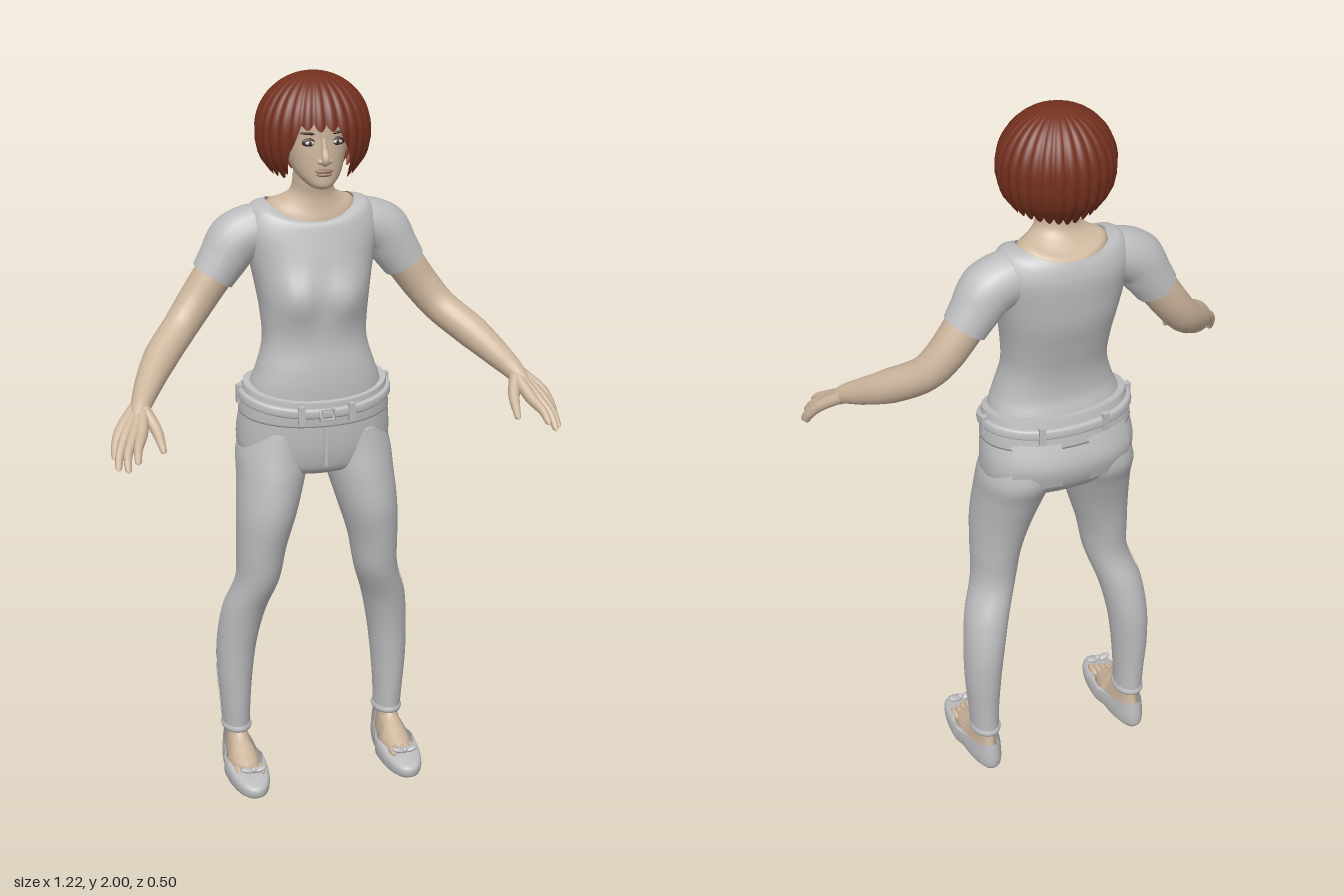
import * as THREE from 'three';

const mat = (name, color) => new THREE.MeshStandardMaterial({ name, color });

// Smooth interpolation through rows of numbers
function sample(rows, t) {
  const i = Math.min(Math.floor(t), rows.length - 2), f = t - i;
  const at = (k) => rows[Math.max(0, Math.min(rows.length - 1, k))];
  return rows[i].map((_, c) => {
    const [a, b, d, e] = [at(i - 1)[c], at(i)[c], at(i + 1)[c], at(i + 2)[c]];
    return b + 0.5 * f * (d - a + f * (2 * a - 5 * b + 4 * d - e + f * (3 * (b - d) + e - a)));
  });
}

// Skin over rising oval sections [y, centreX, halfWidth, zFront, zBack, sideLift, frontTilt]
function loft(sections, { a0 = 0, a1 = Math.PI * 2, p = 1, grow = 0, sub = 5, seg = 40, deform, caps = true } = {}) {
  const rows = sections.map((s) => [...s, 0, 0].slice(0, 7));
  const full = a1 - a0 > 6.28, cols = full ? seg : seg + 1, n = (rows.length - 1) * sub;
  const pos = [], idx = [], pw = (v) => Math.sign(v) * Math.abs(v) ** p;
  for (let i = 0; i <= n; i++) {
    const [y, cx, rx, zf, zb, lift, tilt] = sample(rows, i / sub);
    for (let j = 0; j < cols; j++) {
      const a = a0 + (a1 - a0) * j / seg, c = Math.cos(a), s = Math.sin(a);
      const v = new THREE.Vector3(cx + (rx + grow) * pw(c), y + lift * c * c + tilt * s,
        (zf + zb) / 2 + ((zf - zb) / 2 + grow) * pw(s));
      if (deform) deform(v);
      pos.push(v.x, v.y, v.z);
    }
  }
  for (let i = 0; i < n; i++) for (let j = 0; j < seg; j++) {
    const a = i * cols + j, b = i * cols + (j + 1) % cols;
    idx.push(a, a + cols, b, b, a + cols, b + cols);
  }
  if (full && caps) for (const r of [0, n]) {
    const [y, cx, , zf, zb, lift] = sample(rows, r / sub), m = pos.length / 3;
    pos.push(cx, y + lift / 2, (zf + zb) / 2);
    for (let j = 0; j < seg; j++) {
      const a = r * cols + j, b = r * cols + (j + 1) % cols;
      r ? idx.push(a, m, b) : idx.push(a, b, m);
    }
  }
  const g = new THREE.BufferGeometry();
  g.setAttribute('position', new THREE.Float32BufferAttribute(pos, 3));
  g.setIndex(idx);
  g.computeVertexNormals();
  return g;
}

// Tube through [x, y, z, radius] points
function limb(pts, n = 24, seg = 16) {
  const curve = new THREE.CatmullRomCurve3(pts.map((q) => new THREE.Vector3(q[0], q[1], q[2])));
  const g = new THREE.TubeGeometry(curve, n, 1, seg), P = g.attributes.position, v = new THREE.Vector3();
  for (let i = 0; i <= n; i++) {
    const c = curve.getPointAt(i / n), t = curve.getUtoTmapping(i / n) * (pts.length - 1);
    const k = Math.min(Math.floor(t), pts.length - 2), r = THREE.MathUtils.lerp(pts[k][3], pts[k + 1][3], t - k);
    for (let j = 0; j <= seg; j++) {
      const m = i * (seg + 1) + j;
      v.fromBufferAttribute(P, m).sub(c).multiplyScalar(r).add(c);
      P.setXYZ(m, v.x, v.y, v.z);
    }
  }
  return g;
}

const blob = (x, y, z, sx, sy, sz) => new THREE.SphereGeometry(1, 20, 14).scale(sx, sy, sz).translate(x, y, z);
const box = (x, y, z, w, h, d, ry = 0) => new THREE.BoxGeometry(w, h, d).rotateY(ry).translate(x, y, z);

function mirrored(geo) {
  const g = geo.clone().scale(-1, 1, 1), I = g.index;
  for (let i = 0; i < I.count; i += 3) {
    const a = I.getX(i);
    I.setX(i, I.getX(i + 1));
    I.setX(i + 1, a);
  }
  return g;
}

// Bob haircut: ridged dome whose lower edge rises over the face
function hairGeometry() {
  const cols = 168, rowsN = 22, pos = [], idx = [];
  const profile = [[1.70, 0.55], [1.74, 0.74], [1.78, 0.93], [1.83, 1], [1.88, 0.98]];
  const radius = (y) => {
    if (y > 1.85) return Math.sqrt(Math.max(0, 1 - ((y - 1.85) / 0.15) ** 2));
    const k = profile.findIndex((q) => q[0] >= y), [b, c] = [profile[Math.max(k - 1, 0)], profile[Math.max(k, 1)]];
    return THREE.MathUtils.lerp(b[1], c[1], (y - b[0]) / (c[0] - b[0]));
  };
  for (let i = 0; i <= rowsN; i++) for (let j = 0; j < cols; j++) {
    const a = j / cols * Math.PI * 2, ridge = Math.abs(Math.sin(a * 14));
    const off = Math.abs(Math.atan2(Math.cos(a) + 0.12, Math.sin(a)));
    const open = 1 - THREE.MathUtils.smoothstep(off, 0.25, 0.85);
    const low = 1.715 + 0.018 * (1 - ridge) + 0.02 * Math.max(0, Math.abs(Math.cos(a))) + 0.15 * open;
    const y = low + (2 - low) * Math.sin(i / rowsN * Math.PI / 2);
    const r = radius(y) * (0.95 + 0.05 * ridge);
    pos.push(0.155 * r * Math.cos(a), y, -0.105 + 0.144 * r * Math.sin(a));
    if (i < rowsN) {
      const m = i * cols + j, q = i * cols + (j + 1) % cols;
      idx.push(m, m + cols, q, q, m + cols, q + cols);
    }
  }
  const g = new THREE.BufferGeometry();
  g.setAttribute('position', new THREE.Float32BufferAttribute(pos, 3));
  g.setIndex(idx);
  g.computeVertexNormals();
  return g;
}

export function createModel() {
  const model = new THREE.Group();
  const skin = mat('skin', 0xccb59c), cloth = mat('greyCloth', 0xbdbdbf), hair = mat('redHair', 0x74301e);
  const dark = mat('darkMakeup', 0x3a2a24), white = mat('eyeWhite', 0xd8d4cc), lips = mat('lips', 0x9c7a6c);
  cloth.side = hair.side = THREE.DoubleSide;
  const add = (name, geo, m) => {
    const mesh = new THREE.Mesh(geo, m);
    mesh.name = name;
    model.add(mesh);
  };
  const pair = (name, geo, m) => { add(name + 'Left', geo, m); add(name + 'Right', mirrored(geo), m); };

  // Shirt with bust and shoulder blades
  add('shirt', loft([
    [1.10, 0, 0.19, 0.022, -0.215], [1.16, 0, 0.18, 0.022, -0.205], [1.21, 0, 0.162, 0.018, -0.19],
    [1.28, 0, 0.143, 0.008, -0.193], [1.36, 0, 0.146, 0.006, -0.213], [1.44, 0, 0.158, 0.002, -0.235],
    [1.51, 0, 0.172, -0.008, -0.243], [1.57, 0, 0.185, -0.024, -0.246, 0.02],
    [1.605, 0, 0.16, -0.036, -0.24, 0.04], [1.62, 0, 0.12, -0.05, -0.23, 0.035, -0.01],
  ], { p: 0.86, caps: false, deform: (v) => {
    if (v.z > -0.08) v.z += 0.028 * Math.exp(-(((Math.abs(v.x) - 0.07) / 0.06) ** 2) - ((v.y - 1.41) / 0.065) ** 2);
  } }), cloth);
  pair('sleeve', limb([[0.09, 1.575, -0.142, 0.055], [0.15, 1.575, -0.142, 0.072], [0.205, 1.55, -0.142, 0.075],
    [0.24, 1.5, -0.142, 0.066], [0.268, 1.457, -0.142, 0.06]]), cloth);

  // Waistband, belt, loops and buckle
  const band = [[1.07, 0, 0.209, 0.03, -0.235, 0.01, -0.01], [1.11, 0, 0.205, 0.032, -0.228, 0.012, -0.014],
    [1.15, 0, 0.197, 0.03, -0.216, 0.015, -0.018]];
  add('waistband', loft(band, { p: 0.9 }), cloth);
  add('belt', loft([[1.10, 0, 0.207, 0.034, -0.232, 0.018, -0.014], [1.105, 0, 0.213, 0.04, -0.237, 0.018, -0.014],
    [1.123, 0, 0.211, 0.04, -0.235, 0.018, -0.014], [1.128, 0, 0.204, 0.033, -0.227, 0.018, -0.014]], { p: 0.9 }), cloth);
  add('buckle', new THREE.TorusGeometry(0.02, 0.004, 8, 4).rotateZ(Math.PI / 4).scale(1.3, 1, 1).translate(0, 1.1, 0.043), cloth);
  for (const [x, y, z, r] of [[0.07, 1.1, 0.035, 0.12], [0.207, 1.13, -0.11, Math.PI / 2], [0.09, 1.13, -0.225, -0.2]])
    pair('beltLoop', box(x, y, z, 0.018, 0.05, 0.016, r), cloth);

  // Hips and legs of the trousers
  const hips = [[0.905, 0, 0.08, -0.03, -0.15], [0.925, 0, 0.17, 0.005, -0.2], [0.97, 0, 0.208, 0.02, -0.237],
    [1.03, 0, 0.213, 0.026, -0.249], [1.10, 0, 0.204, 0.026, -0.225]];
  add('hips', loft(hips, { p: 0.9 }), cloth);
  const leg = [[0.12, 0.225, 0.038, -0.072, -0.178], [0.2, 0.227, 0.042, -0.066, -0.18], [0.3, 0.227, 0.05, -0.06, -0.185],
    [0.4, 0.22, 0.056, -0.05, -0.186], [0.5, 0.203, 0.061, -0.03, -0.17], [0.6, 0.171, 0.061, 0.004, -0.143],
    [0.7, 0.16, 0.069, 0.022, -0.15], [0.8, 0.144, 0.083, 0.037, -0.17], [0.9, 0.126, 0.094, 0.03, -0.205],
    [0.97, 0.115, 0.1, 0.018, -0.235], [1.04, 0.1, 0.09, 0.01, -0.23]];
  pair('trouserLeg', loft(leg), cloth);
  pair('sideSeam', loft(leg, { a0: -0.04, a1: 0.04, grow: 0.003, seg: 2 }), cloth);
  pair('trouserCuff', loft([[0.118, 0.225, 0.04, -0.07, -0.18], [0.126, 0.225, 0.043, -0.067, -0.183],
    [0.136, 0.225, 0.04, -0.07, -0.18]]), cloth);
  pair('backPocket', loft(hips.slice(2), { a0: -1.42, a1: -0.72, p: 0.9, grow: 0.006, seg: 12 }), cloth);
  add('flySeam', box(0, 1.0, 0.024, 0.01, 0.11, 0.008), cloth);

  // Feet, toes and flat shoes with bows
  const narrowHeel = (v) => { if (v.z < -0.05) v.x = 0.225 + (v.x - 0.225) * 0.84; };
  pair('foot', loft([[0.02, 0.225, 0.044, 0.06, -0.175], [0.055, 0.225, 0.044, 0.045, -0.178],
    [0.085, 0.225, 0.037, -0.015, -0.172], [0.115, 0.225, 0.032, -0.07, -0.166], [0.16, 0.225, 0.03, -0.08, -0.165]],
  { deform: narrowHeel }), skin);
  for (let i = 0; i < 5; i++)
    pair('toe', blob(0.193 + i * 0.016, 0.056 - i * 0.001, 0.04 - i * 0.004, 0.009, 0.012, 0.028), skin);
  pair('shoe', loft([[0.004, 0.224, 0.045, 0.105, -0.182], [0.012, 0.224, 0.056, 0.124, -0.193],
    [0.035, 0.224, 0.059, 0.126, -0.196], [0.055, 0.224, 0.056, 0.105, -0.194, 0, -0.008],
    [0.075, 0.224, 0.051, 0.055, -0.19, -0.008, -0.018]], { p: 0.88, deform: narrowHeel, caps: false }), cloth);
  pair('sole', loft([[0, 0.224, 0.044, 0.105, -0.182], [0.012, 0.224, 0.055, 0.122, -0.192]], { p: 0.88, deform: narrowHeel }), cloth);
  for (const s of [-1, 1])
    pair('bowLoop', blob(0, 0, 0, 0.019, 0.007, 0.012).rotateZ(s * 0.25).translate(0.222 + s * 0.018, 0.071, 0.068), cloth);
  pair('bowKnot', blob(0.222, 0.071, 0.07, 0.008, 0.009, 0.009), cloth);

  // Arms and hands
  pair('arm', limb([[0.2, 1.54, -0.14, 0.04], [0.268, 1.457, -0.14, 0.053], [0.32, 1.385, -0.135, 0.05],
    [0.365, 1.33, -0.115, 0.047], [0.435, 1.27, -0.045, 0.046], [0.485, 1.222, 0.03, 0.036],
    [0.517, 1.187, 0.09, 0.026], [0.53, 1.165, 0.115, 0.02]], 40, 20), skin);
  const fingers = [
    [[0.532, 1.14, 0.17], [0.55, 1.115, 0.215], [0.556, 1.09, 0.246]],
    [[0.55, 1.137, 0.16], [0.575, 1.1, 0.205], [0.58, 1.067, 0.238]],
    [[0.566, 1.137, 0.145], [0.592, 1.095, 0.182], [0.6, 1.062, 0.205]],
    [[0.578, 1.143, 0.128], [0.597, 1.11, 0.15], [0.603, 1.08, 0.17]]];
  fingers.forEach(([k, m, t], i) => pair('finger', limb([[0.51 + i * 0.006, 1.187, 0.096 - i * 0.005, 0.017],
    [...k, 0.0165], [...m, 0.0115], [...t, 0.008], [t[0], t[1] - 0.003, t[2] + 0.004, 0]], 20, 10), skin));
  pair('thumb', limb([[0.512, 1.185, 0.1, 0.018], [0.49, 1.145, 0.15, 0.016], [0.484, 1.115, 0.19, 0.011],
    [0.482, 1.1, 0.21, 0.008], [0.482, 1.098, 0.214, 0]], 18, 10), skin);

  // Neck and head
  add('neck', loft([[1.56, 0, 0.13, -0.045, -0.22, 0.03], [1.612, 0, 0.119, -0.047, -0.226, 0.037, -0.008],
    [1.645, 0, 0.085, -0.056, -0.2, 0.022], [1.68, 0, 0.06, -0.058, -0.168, 0.005], [1.72, 0, 0.053, -0.05, -0.16],
    [1.78, 0, 0.052, -0.045, -0.16]]), skin);
  add('head', loft([[1.708, 0, 0.018, -0.003, -0.05], [1.718, 0, 0.036, 0.01, -0.08], [1.745, 0, 0.06, 0.011, -0.125],
    [1.79, 0, 0.077, 0.011, -0.18], [1.84, 0, 0.086, 0.008, -0.205], [1.9, 0, 0.086, 0.006, -0.21],
    [1.95, 0, 0.065, -0.025, -0.18], [1.97, 0, 0.02, -0.08, -0.13]], { p: 0.93 }), skin);
  add('nose', limb([[0, 1.845, 0.004, 0.006], [0, 1.815, 0.014, 0.009], [0, 1.79, 0.025, 0.0125], [0, 1.778, 0.012, 0.008]], 12, 12), skin);
  pair('nostril', blob(0.012, 1.786, 0.015, 0.009, 0.008, 0.011), skin);
  add('upperLip', blob(0, 1.759, 0.011, 0.025, 0.006, 0.01), lips);
  add('lowerLip', blob(0, 1.75, 0.01, 0.021, 0.006, 0.01), lips);
  pair('eyeliner', blob(0.037, 1.835, 0, 0.021, 0.011, 0.006), dark);
  pair('eye', blob(0.037, 1.834, 0.001, 0.015, 0.0065, 0.0075), white);
  pair('iris', blob(0.037, 1.834, 0.002, 0.006, 0.006, 0.008), dark);
  pair('eyebrow', blob(0, 0, 0, 0.024, 0.0035, 0.005).rotateZ(0.12).translate(0.04, 1.858, 0.001), dark);
  add('hair', hairGeometry(), hair);
  return model;
}
